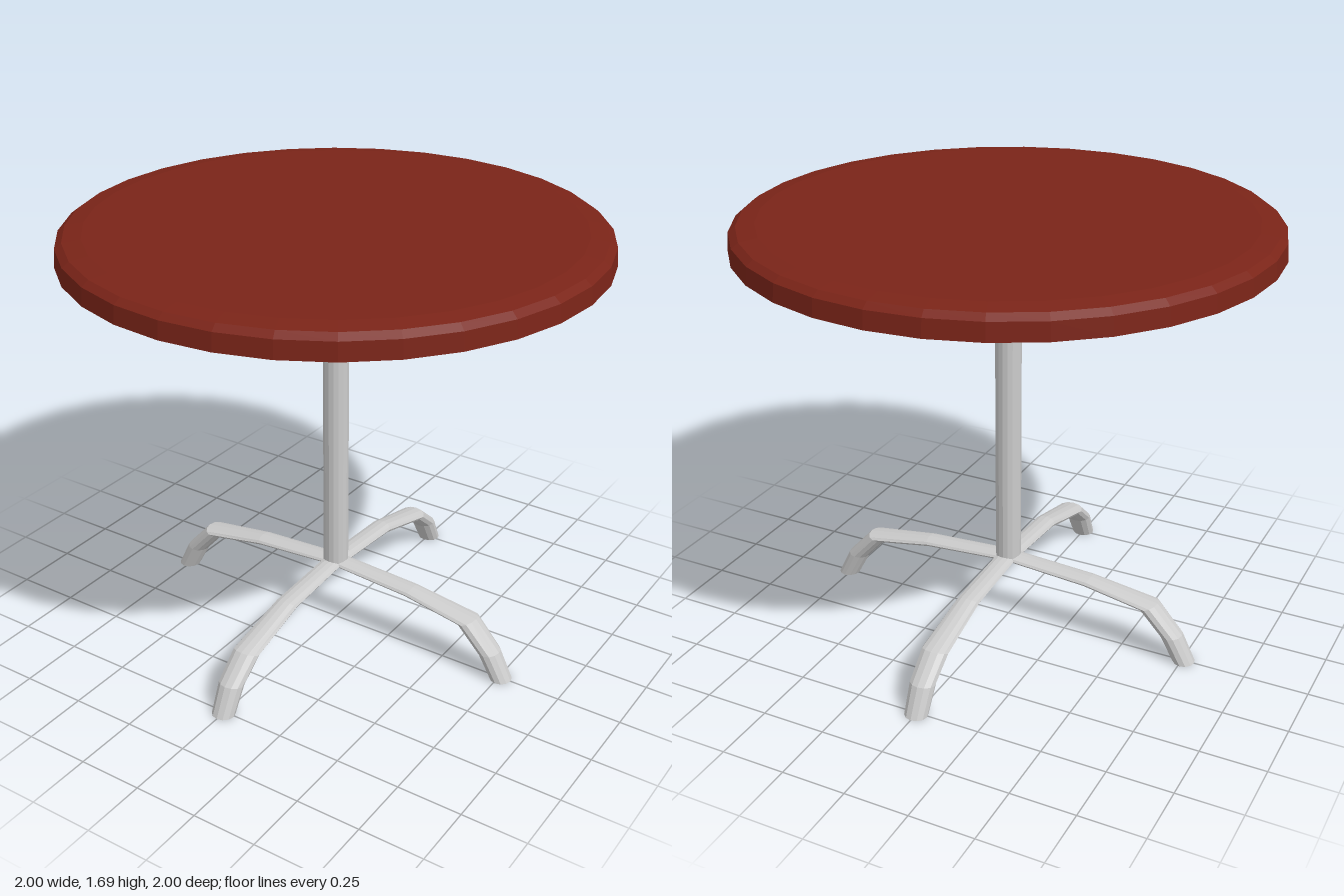
import * as THREE from 'three';

const grey = new THREE.MeshStandardMaterial({ color: 0xcccccc, flatShading: true });
const red = new THREE.MeshStandardMaterial({ color: 0x7a2418, flatShading: true });

// Cross-sections from hub to foot: [upper r, upper y, lower r, lower y, half width]
const xLeg = [
  [0, 0.29, 0, 0.26, 0.042],
  [0.36, 0.27, 0.34, 0.236, 0.045],
  [0.64, 0.225, 0.57, 0.2, 0.054],
  [0.745, 0.11, 0.66, 0.1, 0.05],
  [0.8, 0, 0.715, 0, 0.045],
];
const zLeg = xLeg.map((s) => [...s]);
zLeg[1][2] = 0.32;
zLeg[2] = [0.64, 0.2, 0.57, 0.175, 0.054];

// Bends a cylinder so that its rows become the given oval sections
function legGeometry(sections) {
  const rows = sections.length - 1;
  const geo = new THREE.CylinderGeometry(1, 1, 1, 12, rows);
  const pos = geo.attributes.position;
  for (let i = 0; i < pos.count; i++) {
    const [ur, uy, lr, ly, w] = sections[Math.round((0.5 - pos.getY(i)) * rows)];
    const k = (1 + pos.getX(i)) / 2;
    pos.setXYZ(i, lr + (ur - lr) * k, ly + (uy - ly) * k, w * pos.getZ(i));
  }
  geo.computeVertexNormals();
  return geo;
}

export function createModel() {
  const group = new THREE.Group();
  const add = (name, geometry, material) => {
    const mesh = new THREE.Mesh(geometry, material);
    mesh.name = name;
    group.add(mesh);
    return mesh;
  };

  // Round top with a softened upper edge
  const profile = [[0, 1.595], [1, 1.595], [0.994, 1.66], [0.968, 1.68], [0.9, 1.69], [0, 1.69]];
  add('tableTop', new THREE.LatheGeometry(profile.map((p) => new THREE.Vector2(...p)), 32), red);

  // Central column
  add('column', new THREE.CylinderGeometry(0.05, 0.05, 1.335, 16).translate(0, 0.9325, 0), grey);

  // Four arched legs, the side pair slightly higher at the bend
  ['leftLeg', 'backLeg', 'rightLeg', 'frontLeg'].forEach((name, i) => {
    add(name, legGeometry(i % 2 ? zLeg : xLeg), grey).rotation.y = (i * Math.PI) / 2;
  });

  return group;
}
